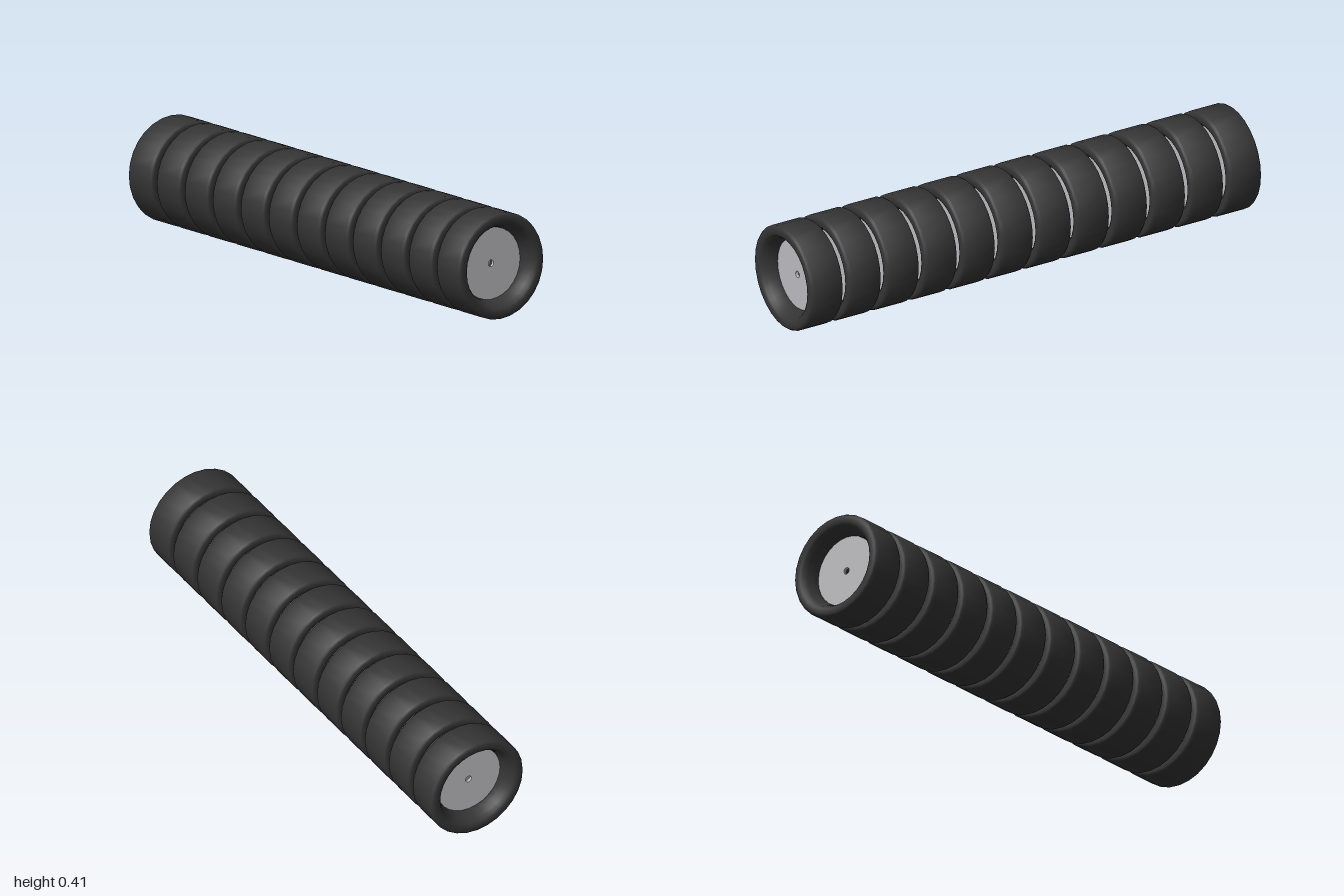
import * as THREE from 'three';
import { toCreasedNormals } from 'three/addons/utils/BufferGeometryUtils.js';

const COUNT = 12;
const SIDES = 28;
const RADIUS = 0.205;
const HALF_WIDTH = 0.0715;

// Spins a closed [radius, offset] profile around the x axis.
function ring(profile) {
  const points = [...profile, profile[0]].map(([r, x]) => new THREE.Vector2(r, x));
  const geometry = new THREE.LatheGeometry(points, SIDES);
  geometry.rotateZ(-Math.PI / 2);
  return toCreasedNormals(geometry, 0.6);
}

export function createModel() {
  const rubber = new THREE.MeshStandardMaterial({ name: 'black rubber', color: 0x353535 });
  const metal = new THREE.MeshStandardMaterial({ name: 'grey metal', color: 0xbdbdc1 });

  // Half of the tyre section, from the tread out and over to the inner bore
  const half = [
    [RADIUS, HALF_WIDTH - 0.011],
    [0.201, HALF_WIDTH - 0.004],
    [0.194, HALF_WIDTH],
    [0.173, HALF_WIDTH],
    [0.164, 0.066],
    [0.154, 0.05],
    [0.146, 0.03],
    [0.14, 0.007],
  ];
  const mirrored = half.map(([r, x]) => [r, -x]).reverse();
  const tyreGeometry = ring([...half, ...mirrored]);

  // Thin wheel disc with an axle hole
  const discGeometry = ring([
    [0.013, -0.006], [0.139, -0.006], [0.139, 0.006], [0.013, 0.006],
  ]);

  // Row of separate wheels along x
  const model = new THREE.Group();
  model.name = 'wheelRow';
  const step = (2 - 2 * HALF_WIDTH) / (COUNT - 1);
  for (let i = 0; i < COUNT; i++) {
    const wheel = new THREE.Group();
    wheel.name = `wheel${i + 1}`;
    wheel.position.set(-1 + HALF_WIDTH + i * step, RADIUS, 0);
    const tyre = new THREE.Mesh(tyreGeometry, rubber);
    tyre.name = 'tyre';
    const disc = new THREE.Mesh(discGeometry, metal);
    disc.name = 'wheelDisc';
    wheel.add(tyre, disc);
    model.add(wheel);
  }
  return model;
}
